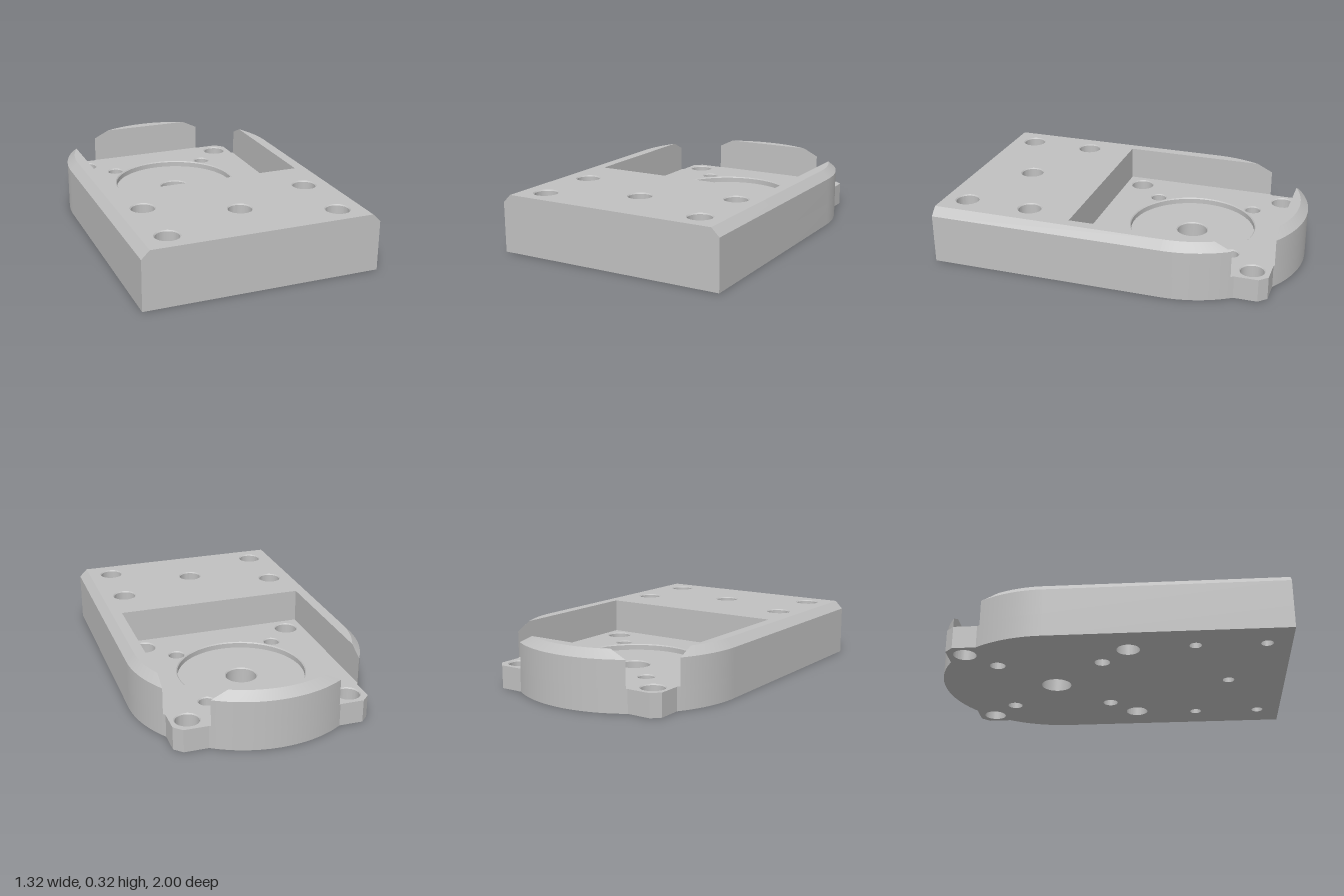
import * as THREE from 'three';
import { mergeGeometries, toCreasedNormals } from 'three/addons/utils/BufferGeometryUtils.js';

// Main dimensions
const R = 0.66, CZ = -0.34, TOP = 0.325, CHAMFER = 0.045;
const FLOOR = 0.13, RECESS = 0.095;
const POCKET = 0.555, POCKET_FRONT = 0.215, EAR = 0.545, EAR_BACK = 0.55;
const RIM = 0.006;

// Points are [x, z] pairs; an arc runs around the rounded end's centre
function arc(r, a0, a1, n = 24) {
  return Array.from({ length: n + 1 }, (_, i) => {
    const a = a0 + (a1 - a0) * i / n;
    return [r * Math.cos(a), CZ - r * Math.sin(a)];
  });
}

function circle(x, z, r, n = 48) {
  return Array.from({ length: n }, (_, i) => {
    const a = i / n * Math.PI * 2;
    return [x + r * Math.cos(a), z + r * Math.sin(a)];
  });
}

// Completes a right-hand half outline with its left-hand mirror image
function mirror(half) {
  const other = half.filter(([x]) => x > 1e-6).map(([x, z]) => [-x, z]).reverse();
  return [...half, ...other];
}

// Flat horizontal face with holes
function cap(outline, holes, y, up = true) {
  const s = up ? -1 : 1;
  const to2 = pts => pts.map(([x, z]) => new THREE.Vector2(x, s * z));
  const shape = new THREE.Shape(to2(outline));
  holes.forEach(h => shape.holes.push(new THREE.Path(to2(h))));
  const g = new THREE.ShapeGeometry(shape).rotateX(s * Math.PI / 2).translate(0, y, 0);
  g.deleteAttribute('uv');
  return g.toNonIndexed();
}

// Wall between two closed outlines with the same number of points
function loft(a, ya, b, yb, inward = false) {
  const n = a.length, pos = [];
  let area = 0;
  a.forEach(([x, z], i) => {
    const [x1, z1] = a[(i + 1) % n];
    area += x * z1 - x1 * z;
  });
  const flip = (area < 0) !== inward;
  for (let i = 0; i < n; i++) {
    const j = (i + 1) % n;
    const a0 = [a[i][0], ya, a[i][1]], a1 = [a[j][0], ya, a[j][1]];
    const b0 = [b[i][0], yb, b[i][1]], b1 = [b[j][0], yb, b[j][1]];
    if (flip) pos.push(...a0, ...b1, ...b0, ...a0, ...a1, ...b1);
    else pos.push(...a0, ...b0, ...b1, ...a0, ...b1, ...a1);
  }
  const g = new THREE.BufferGeometry();
  g.setAttribute('position', new THREE.Float32BufferAttribute(pos, 3));
  g.computeVertexNormals();
  return g;
}

// Bore wall with a small chamfered rim
function bore(x, z, r, y0, y1) {
  const c = circle(x, z, r);
  return [
    loft(c, y0, c, y1 - RIM, true),
    loft(c, y1 - RIM, circle(x, z, r + RIM), y1, true),
  ];
}

export function createModel() {
  const group = new THREE.Group();
  const grey = new THREE.MeshStandardMaterial({ color: 0xc0c0c0 });
  grey.name = 'grey';
  const add = (name, parts) => {
    const mesh = new THREE.Mesh(toCreasedNormals(mergeGeometries(parts), 0.4), grey);
    mesh.name = name;
    group.add(mesh);
  };

  // Hole positions
  const square = d => [[d, CZ - d], [-d, CZ - d], [d, CZ + d], [-d, CZ + d]];
  const large = square(0.452), small = square(0.297);
  const screws = [[0.478, 0.48], [-0.478, 0.48], [0.478, 0.865], [-0.478, 0.865], [0, 0.672]];
  const LARGE = 0.065, SMALL = 0.044, CENTRE = 0.087, DISC = 0.362, HEAD = 0.064, SHANK = 0.034;
  const rings = (list, r) => list.map(([x, z]) => circle(x, z, r));

  // Base slab: rounded body plus the two ears poking out at the back corners
  const ear = [[EAR, -0.845], [0.5, CZ - EAR_BACK]];
  const earSide = Math.acos(EAR / R), earBack = Math.asin(EAR_BACK / R);
  const base = mirror([[R, 1], ...arc(R, 0, earSide), ...ear, ...arc(R, earBack, Math.PI / 2)]);
  add('base', [
    loft(base, 0, base, FLOOR),
    cap(base, [...rings(large, LARGE), ...rings(small, SMALL), ...rings(screws, SHANK),
      circle(0, CZ, CENTRE)], 0, false),
  ]);

  // Pocket floor with its holes
  const floor = mirror([
    [POCKET, POCKET_FRONT],
    ...arc(R, Math.acos(POCKET / R), earSide, 1), ...ear,
    ...arc(R, earBack, Math.asin(POCKET / R), 1),
  ]);
  add('pocketFloor', [
    cap(floor, [...rings(large, LARGE + RIM), ...rings(small, SMALL + RIM),
      circle(0, CZ, DISC + RIM, 96)], FLOOR),
    ...large.flatMap(([x, z]) => bore(x, z, LARGE, 0, FLOOR)),
    ...small.flatMap(([x, z]) => bore(x, z, SMALL, 0, FLOOR)),
  ]);

  // Round recess and central bore
  const disc = circle(0, CZ, DISC, 96);
  add('roundRecess', [
    loft(disc, RECESS, disc, FLOOR - RIM, true),
    loft(disc, FLOOR - RIM, circle(0, CZ, DISC + RIM, 96), FLOOR, true),
    cap(disc, [circle(0, CZ, CENTRE + RIM)], RECESS),
    ...bore(0, CZ, CENTRE, 0, RECESS),
  ]);

  // Raised parts share a straight wall and a chamfered top edge
  const raised = (outline, holes) => [
    loft(outline(R), FLOOR, outline(R), TOP - CHAMFER),
    loft(outline(R), TOP - CHAMFER, outline(R - CHAMFER), TOP),
    cap(outline(R - CHAMFER), holes, TOP),
  ];
  add('upperBody', raised(
    r => mirror([[r, 1], ...arc(r, 0, Math.acos(POCKET / r)), [POCKET, POCKET_FRONT]]),
    rings(screws, HEAD + RIM)));
  add('backLip', raised(r => mirror(arc(r, Math.asin(POCKET / r), Math.PI / 2)), []));

  // Counterbored screw holes
  add('screwHoles', screws.flatMap(([x, z]) => [
    ...bore(x, z, HEAD, FLOOR, TOP),
    cap(circle(x, z, HEAD), [circle(x, z, SHANK)], FLOOR),
    loft(circle(x, z, SHANK), 0, circle(x, z, SHANK), FLOOR, true),
  ]));

  return group;
}
